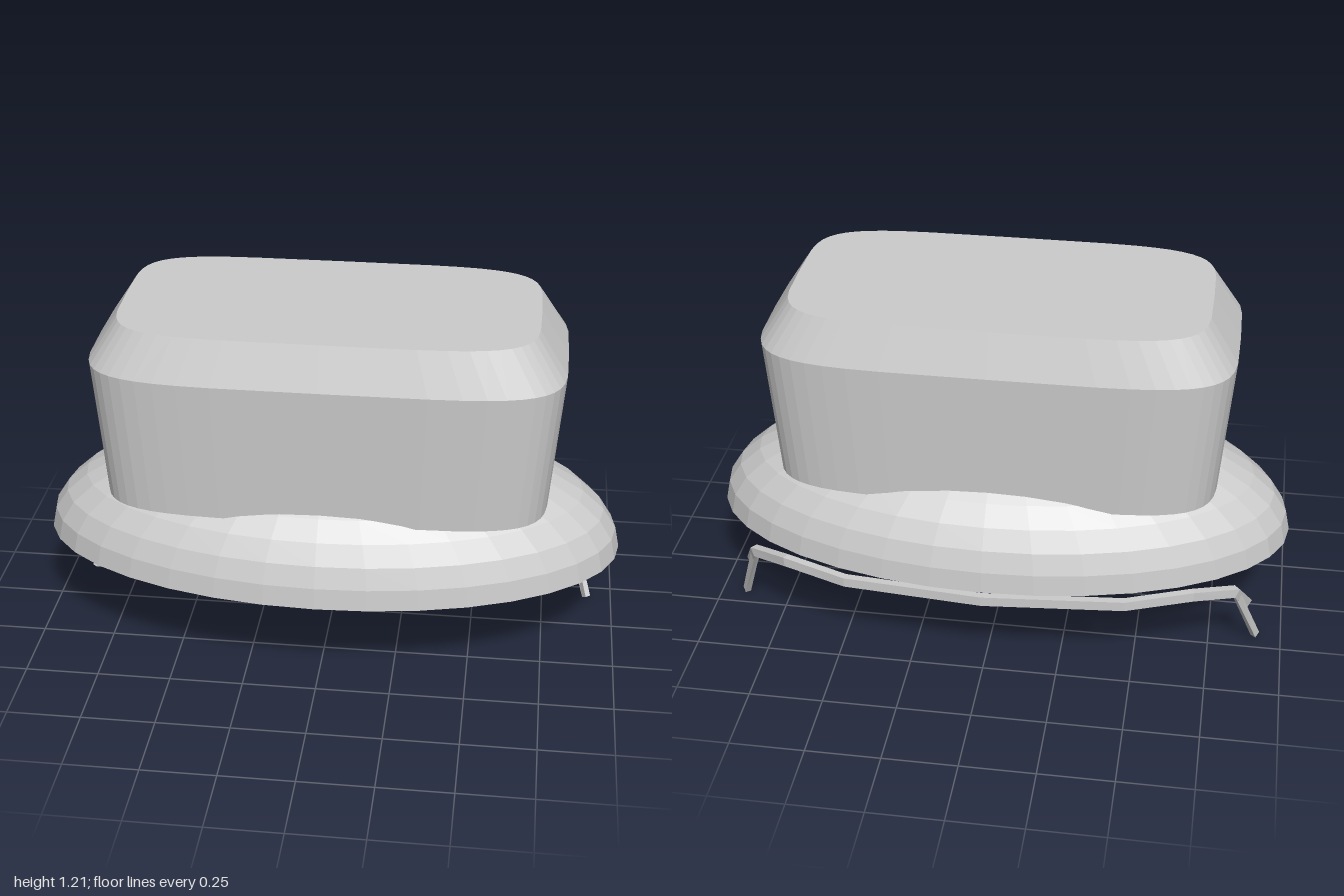
import * as THREE from 'three';

const grey = new THREE.MeshStandardMaterial({ color: 0xcccccc, flatShading: true, side: THREE.DoubleSide });
grey.name = 'grey';

// Skins a list of closed rings of points; ends are closed on request.
function loft(rings, capStart, capEnd) {
  const n = rings[0].length, pos = [], idx = [];
  rings.flat().forEach((p) => pos.push(p.x, p.y, p.z));
  for (let r = 0; r < rings.length - 1; r++) {
    for (let i = 0; i < n; i++) {
      const a = r * n + i, b = r * n + (i + 1) % n;
      idx.push(a, a + n, b, b, a + n, b + n);
    }
  }
  const last = (rings.length - 1) * n;
  for (let i = 1; i < n - 1; i++) {
    if (capStart) idx.push(0, i, i + 1);
    if (capEnd) idx.push(last, last + i + 1, last + i);
  }
  const g = new THREE.BufferGeometry();
  g.setAttribute('position', new THREE.Float32BufferAttribute(pos, 3));
  g.setIndex(idx);
  g.computeVertexNormals();
  return g;
}

// Rounded oblong outline at one height.
function oblong(y, a, b, zc) {
  const pts = [], n = 48, e = 2 / 5;
  for (let i = 0; i < n; i++) {
    const t = (i / n) * Math.PI * 2, c = Math.cos(t), s = Math.sin(t);
    pts.push(new THREE.Vector3(
      a * Math.sign(c) * Math.abs(c) ** e, y, zc + b * Math.sign(s) * Math.abs(s) ** e));
  }
  return pts;
}

// Square bar swept along a path, turned to follow the oval brim.
function bar(points, halfDepth, halfHeight) {
  const path = points.map((p) => new THREE.Vector3(...p));
  const rings = path.map((p, i) => {
    const before = path[Math.max(i - 1, 0)], after = path[Math.min(i + 1, path.length - 1)];
    const t = after.clone().sub(before).normalize();
    const out = new THREE.Vector3(p.x, 0, p.z * 3.6).normalize();
    out.addScaledVector(t, -out.dot(t)).normalize();
    const up = new THREE.Vector3().crossVectors(out, t);
    return [[1, 1], [-1, 1], [-1, -1], [1, -1]].map(([o, u]) =>
      p.clone().addScaledVector(out, o * halfDepth).addScaledVector(up, u * halfHeight));
  });
  return loft(rings, true, true);
}

export function createModel() {
  const group = new THREE.Group();
  const add = (name, geometry) => {
    const m = new THREE.Mesh(geometry, grey);
    m.name = name;
    group.add(m);
    return m;
  };

  // Hollow oval dome, open underneath
  const dome = new THREE.SphereGeometry(1, 36, 9, 0, Math.PI * 2, 0, Math.PI / 2);
  dome.scale(1, 0.42, 0.525);
  add('brim', dome).position.y = 0.335;

  // Flared crown with a bevelled flat top, open below
  add('crown', loft([
    oblong(0.58, 0.745, 0.38, 0.01),
    oblong(1.065, 0.785, 0.4, 0.01),
    oblong(1.21, 0.69, 0.352, 0.008),
  ], false, true));

  // Band running round the back, with short stubs at its ends
  const half = [[0.47, 0.302, -0.478], [0.69, 0.311, -0.405], [0.83, 0.265, -0.3], [0.872, 0.16, -0.212]];
  const mirror = (pts) => pts.map(([x, y, z]) => [-x, y, z]);
  add('backBand', bar([...mirror(half).reverse(), [0, 0.302, -0.518], ...half], 0.013, 0.017));

  // Thin legs at both ends of the band
  const leg = [[0.83, 0.265, -0.295], [0.912, 0.006, -0.18]];
  add('leftLeg', bar(leg, 0.01, 0.012));
  add('rightLeg', bar(mirror(leg).reverse(), 0.01, 0.012));

  return group;
}
